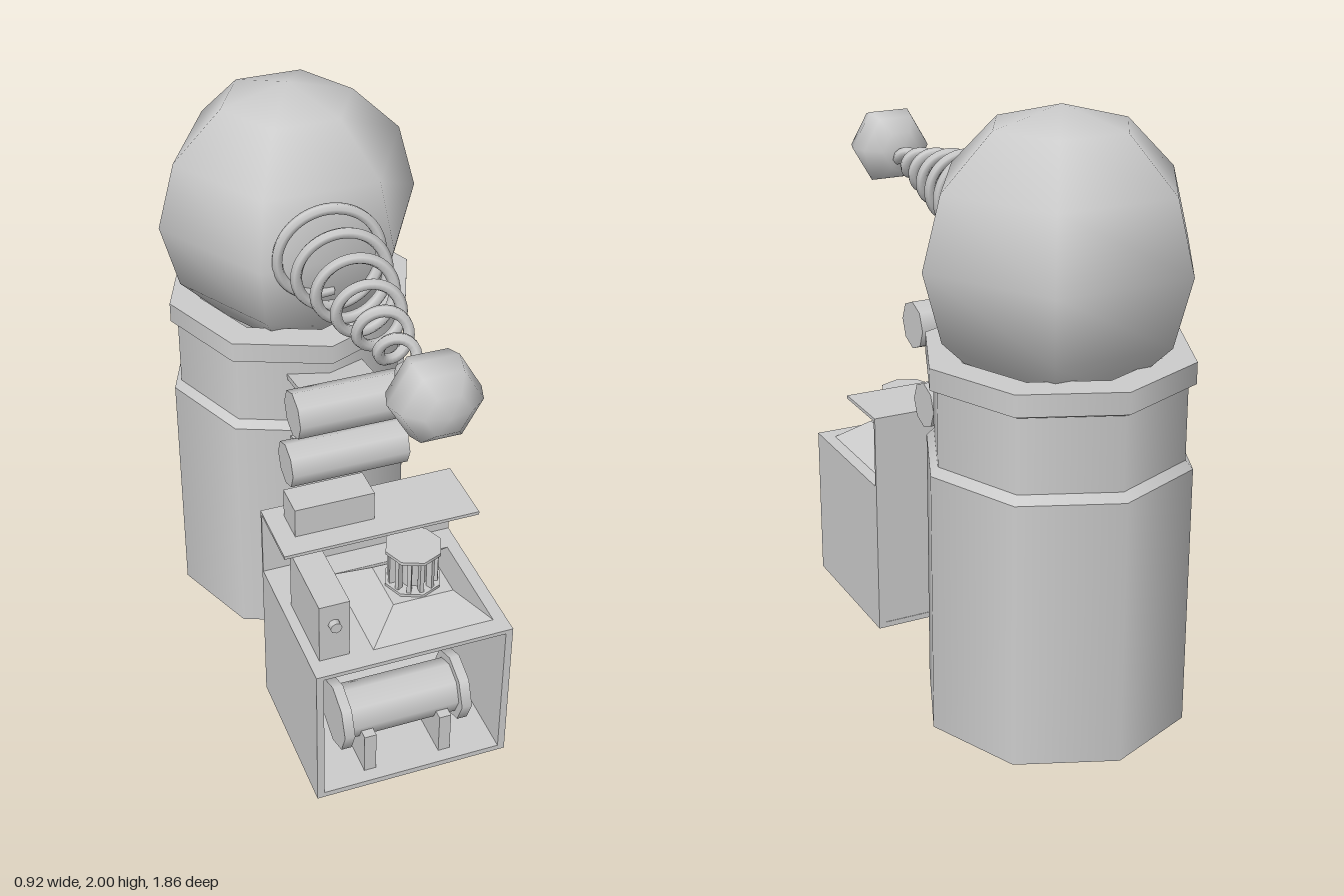
import * as THREE from 'three';

const mat = new THREE.MeshStandardMaterial({ color: 0xcccccc });
const thin = new THREE.MeshStandardMaterial({ color: 0xcccccc, side: THREE.DoubleSide });

export function createModel() {
  const model = new THREE.Group();

  const add = (name, geo, x = 0, y = 0, z = 0, material = mat) => {
    const m = new THREE.Mesh(geo, material);
    m.name = name;
    m.position.set(x, y, z);
    model.add(m);
    return m;
  };
  // box given by its extents
  const box = (name, x0, x1, y0, y1, z0, z1) =>
    add(name, new THREE.BoxGeometry(x1 - x0, y1 - y0, z1 - z0), (x0 + x1) / 2, (y0 + y1) / 2, (z0 + z1) / 2);
  // eight-sided drum lying along x
  const drum = (name, r, x0, x1, y, z) => {
    const m = add(name, new THREE.CylinderGeometry(r, r, x1 - x0, 8), (x0 + x1) / 2, y, z);
    m.rotation.z = Math.PI / 2;
    return m;
  };

  // eight-sided tank, open below: stacked bands of [radius, height]
  const TZ = -0.49;
  const profile = [[0.44, 0], [0.44, 0.885], [0.415, 0.912], [0.415, 1.156], [0.44, 1.167], [0.44, 1.238], [0.33, 1.238]];
  for (let i = 0; i < profile.length - 1; i++) {
    const [r0, y0] = profile[i], [r1, y1] = profile[i + 1];
    add('tankBand', new THREE.CylinderGeometry(r1, r0, y1 - y0, 8, 1, true), 0, (y0 + y1) / 2, TZ, thin);
  }

  // head
  add('head', new THREE.SphereGeometry(0.46, 6, 6), 0, 1.54, TZ);

  // tapering coil spring and the ball on its end
  const points = [];
  const z0 = -0.125, z1 = 0.7, pitch = 0.12;
  for (let i = 0; i <= 140; i++) {
    const z = z0 + (z1 - z0) * i / 140;
    const r = 0.167 - 0.197 * (z + 0.063);
    const a = 2 * Math.PI * (z + 0.122) / pitch;
    points.push(new THREE.Vector3(-r * Math.sin(a), 1.587 - r * Math.cos(a), z));
  }
  add('spring', new THREE.TubeGeometry(new THREE.CatmullRomCurve3(points), 280, 0.019, 6), 0, 0, 0, thin);
  const ball = add('springBall', new THREE.SphereGeometry(0.145, 6, 6), 0, 1.61, 0.808);
  ball.rotation.x = Math.PI / 2;
  ball.scale.y = 0.84;

  // two rollers on flat brackets
  for (const [y, z, r, ay, az, by, bz] of [
    [1.145, 0.15, 0.083, 1.135, 0.09, 1.095, -0.13],
    [0.883, 0.066, 0.08, 0.886, 0.01, 0.853, -0.105],
  ]) {
    drum('roller', r, -0.21, 0.21, y, z);
    const arm = add('rollerBracket', new THREE.BoxGeometry(0.27, 0.02, Math.hypot(ay - by, az - bz)),
      0, (ay + by) / 2, (az + bz) / 2);
    arm.rotation.x = -Math.atan2(ay - by, az - bz);
  }

  // cabinet: hollow frame with a back wall
  const frame = new THREE.Shape([[-0.34, 0], [0.34, 0], [0.34, 0.555], [-0.34, 0.555]].map(p => new THREE.Vector2(...p)));
  frame.holes.push(new THREE.Path([[-0.315, 0.02], [-0.315, 0.54], [0.315, 0.54], [0.315, 0.02]].map(p => new THREE.Vector2(...p))));
  add('cabinetShell', new THREE.ExtrudeGeometry(frame, { depth: 0.557, bevelEnabled: false }), 0, 0, 0.19);
  box('cabinetBack', -0.32, 0.32, 0.01, 0.55, 0.192, 0.225);

  // spool on two posts inside the cabinet
  drum('spoolBarrel', 0.093, -0.21, 0.21, 0.204, 0.585);
  for (const s of [-1, 1]) {
    drum('spoolFlange', 0.122, s * 0.21 - 0.018, s * 0.21 + 0.018, 0.204, 0.585);
    box('spoolPost', s * 0.135 - 0.021, s * 0.135 + 0.021, 0.02, 0.177, 0.5, 0.7);
  }

  // folded sheet standing behind the cabinet top, with a block on it
  box('backSheet', -0.34, 0.34, 0.555, 0.81, 0.19, 0.2);
  box('shelf', -0.34, 0.34, 0.8, 0.812, 0.19, 0.44);
  box('shelfBlock', -0.275, 0, 0.812, 0.92, 0.24, 0.357);

  // side control box with a knob
  box('controlBox', -0.305, -0.202, 0.555, 0.78, 0.39, 0.675);
  const knob = add('knob', new THREE.CylinderGeometry(0.02, 0.02, 0.025, 8), -0.255, 0.7, 0.685);
  knob.rotation.x = Math.PI / 2;

  // sloping hood
  const CX = 0.086, CZ = 0.49;
  const hood = new THREE.CylinderGeometry(Math.SQRT2 / 2, Math.SQRT2, 0.08, 4).toNonIndexed();
  hood.rotateY(Math.PI / 4);
  hood.scale(0.21, 1, 0.195);
  hood.computeVertexNormals();
  add('hood', hood, CX, 0.595, CZ);

  // slatted vent on the hood
  add('ventCore', new THREE.CylinderGeometry(0.05, 0.05, 0.13, 8), CX, 0.705, CZ);
  add('ventBase', new THREE.CylinderGeometry(0.097, 0.097, 0.01, 8), CX, 0.64, CZ);
  add('ventCap', new THREE.CylinderGeometry(0.097, 0.097, 0.012, 8), CX, 0.774, CZ);
  for (let i = 0; i < 12; i++) {
    const a = i * Math.PI / 6;
    const slat = add('ventSlat', new THREE.BoxGeometry(0.014, 0.13, 0.022),
      CX + 0.073 * Math.sin(a), 0.705, CZ + 0.073 * Math.cos(a));
    slat.rotation.y = a;
  }

  return model;
}
